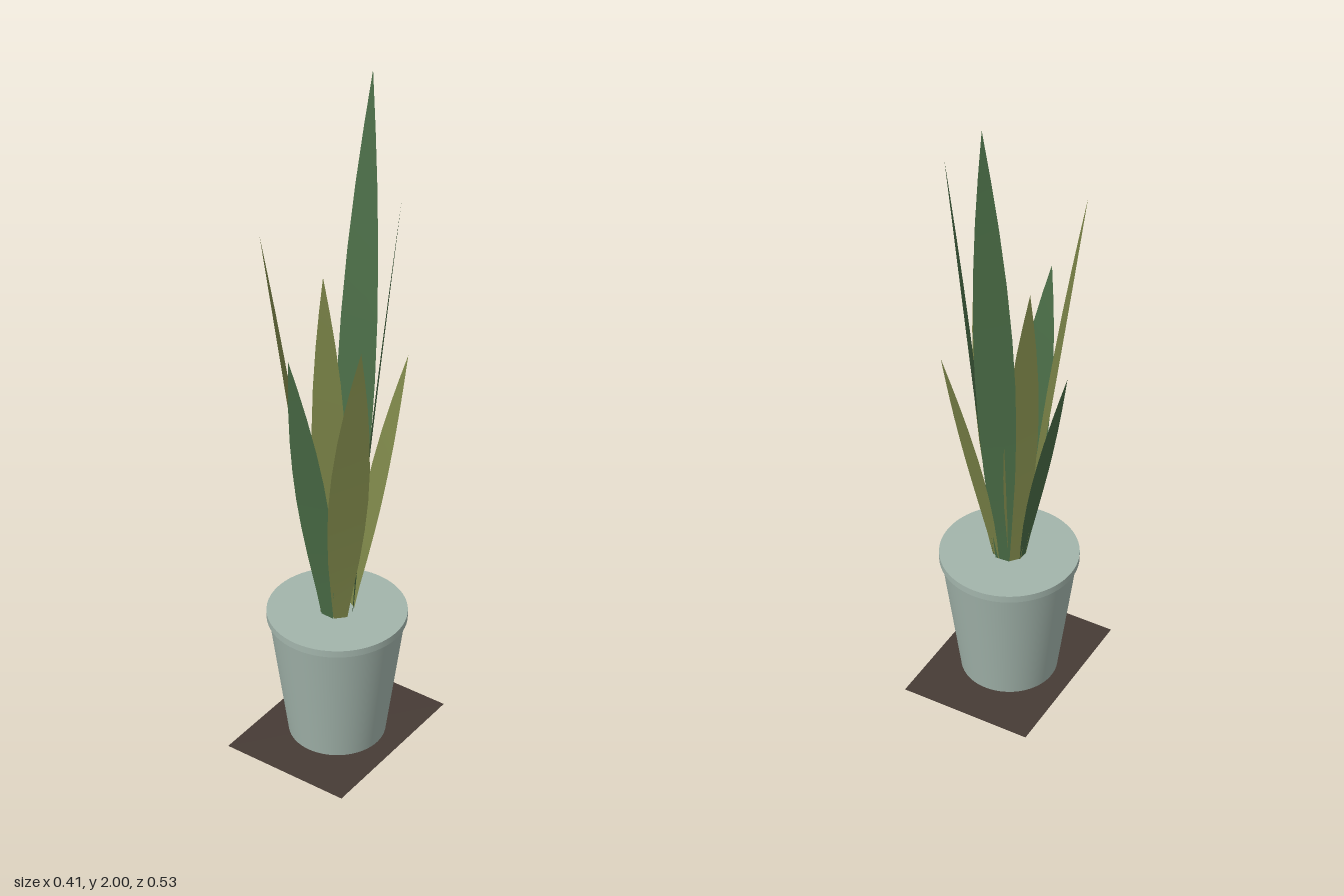
import * as THREE from 'three';

const material = (name, color, side = THREE.FrontSide) => {
  const m = new THREE.MeshStandardMaterial({ color, side });
  m.name = name;
  return m;
};

// Relative half-width of a blade from base (t = 0) to tip (t = 1)
const bladeProfile = [[0, 0.36], [0.1, 0.56], [0.22, 0.8], [0.34, 0.95], [0.45, 1], [0.56, 0.95],
  [0.68, 0.8], [0.8, 0.56], [0.9, 0.3], [1, 0]];

// A flat sword-shaped blade rising from the ring of roots to its tip
function bladeGeometry(tip, angleDeg, width) {
  const a = THREE.MathUtils.degToRad(angleDeg);
  const baseY = 0.425, ringRadius = 0.046;
  const base = new THREE.Vector3(Math.cos(a) * ringRadius, baseY, Math.sin(a) * ringRadius);
  const across = new THREE.Vector3(-Math.sin(a), 0, Math.cos(a));
  const positions = [], index = [];
  bladeProfile.forEach(([t, w], i) => {
    const bend = Math.pow(t, 1.15);
    const c = new THREE.Vector3(
      base.x + (tip[0] - base.x) * bend,
      base.y + (tip[1] - base.y) * t,
      base.z + (tip[2] - base.z) * bend);
    for (const s of [-1, 1]) {
      positions.push(...c.clone().addScaledVector(across, s * w * width / 2).toArray());
    }
    if (i > 0) {
      const k = i * 2;
      index.push(k - 2, k, k - 1);
      if (w > 0) index.push(k - 1, k, k + 1);
    }
  });
  const g = new THREE.BufferGeometry();
  g.setAttribute('position', new THREE.Float32BufferAttribute(positions, 3));
  g.setIndex(index);
  g.computeVertexNormals();
  return g;
}

export function createModel() {
  const group = new THREE.Group();
  group.name = 'pottedPlant';
  const potMat = material('paleSageGlaze', 0xa2b4ab);
  const baseMat = material('darkBrown', 0x463b35, THREE.DoubleSide);
  const greenMat = material('leafGreen', 0x496b45, THREE.DoubleSide);
  const oliveMat = material('leafOlive', 0x7d8649, THREE.DoubleSide);

  const add = (name, geometry, mat) => {
    const mesh = new THREE.Mesh(geometry, mat);
    mesh.name = name;
    group.add(mesh);
    return mesh;
  };

  // Base sheet under the pot
  add('baseSheet', new THREE.PlaneGeometry(0.408, 0.532).rotateX(-Math.PI / 2), baseMat);

  // Tapered pot, rim lip and closed top
  add('potBody', new THREE.CylinderGeometry(0.197, 0.144, 0.404, 64).translate(0, 0.204, 0), potMat);
  add('potRim', new THREE.CylinderGeometry(0.204, 0.204, 0.022, 64).translate(0, 0.417, 0), potMat);

  // Blades: tip position, angle around the pot, width, material
  const blades = [
    [[-0.072, 2.0, -0.265], -94, 0.122, greenMat],
    [[0.145, 1.755, -0.086], -29, 0.122, greenMat],
    [[-0.178, 1.63, 0.103], 147, 0.11, oliveMat],
    [[0.192, 1.425, 0.162], 43, 0.112, oliveMat],
    [[-0.033, 1.33, 0.178], 92, 0.115, greenMat],
    [[-0.2, 1.14, -0.036], 184, 0.09, greenMat],
    [[0.095, 1.21, -0.205], -62, 0.095, oliveMat],
    [[-0.122, 1.43, -0.105], -140, 0.1, oliveMat],
  ];
  blades.forEach(([tip, angle, width, mat], i) =>
    add('leaf' + (i + 1), bladeGeometry(tip, angle, width), mat));

  return group;
}
